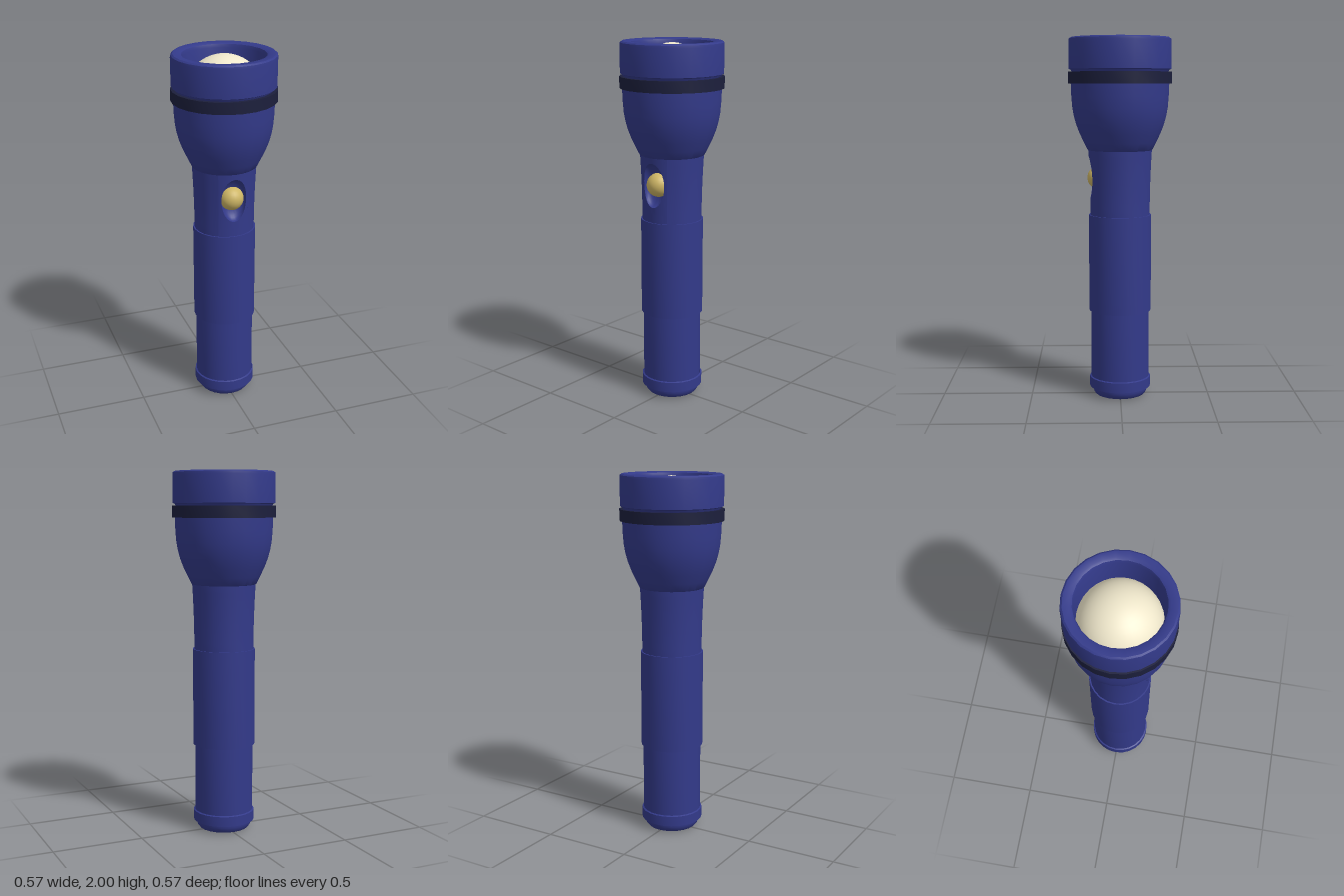
import * as THREE from 'three';
import { toCreasedNormals } from 'three/addons/utils/BufferGeometryUtils.js';

const SIDES = 24;
const NECK_BOTTOM = 1.03, NECK_TOP = 1.39;

const blue = new THREE.MeshStandardMaterial({ color: 0x333a8a, side: THREE.DoubleSide });
const dark = new THREE.MeshStandardMaterial({ color: 0x1c1f3c });
const gold = new THREE.MeshStandardMaterial({ color: 0xcdb565 });
const cream = new THREE.MeshStandardMaterial({ color: 0xf0e8cc });

function part(name, geometry, material) {
  const mesh = new THREE.Mesh(geometry, material);
  mesh.name = name;
  return mesh;
}

// Turned part from [radius, height] pairs, listed upwards along the outside
function turned(name, profile, material, start = 0, sweep = Math.PI * 2) {
  const points = profile.map(([r, y]) => new THREE.Vector2(r, y));
  const segments = Math.round((SIDES * sweep) / (Math.PI * 2));
  const lathe = new THREE.LatheGeometry(points, segments, start, sweep);
  return part(name, toCreasedNormals(lathe, 0.6), material);
}

// The neck flares slightly towards the head
const neckRadius = (y) => 0.165 + 0.011 * ((y - NECK_BOTTOM) / (NECK_TOP - NECK_BOTTOM)) ** 2;

// Front of the neck: rings run from the bowl centre to its oval rim, then out to a square border
function switchRecess(halfAngle) {
  const rays = 48, bowlRings = 10, outerRings = 4, rings = bowlRings + outerRings;
  const middle = 1.237, ovalAngle = 0.43, ovalHeight = 0.122, depth = 0.06;
  const positions = [], index = [];
  for (let i = 0; i <= rings; i++) {
    for (let j = 0; j < rays; j++) {
      const a = (j / rays) * Math.PI * 2, c = Math.cos(a), s = Math.sin(a);
      const t = Math.sin((Math.min(i / bowlRings, 1) * Math.PI) / 2);
      const k = Math.max(0, (i - bowlRings) / outerRings);
      const m = Math.max(Math.abs(c), Math.abs(s));
      const borderY = THREE.MathUtils.mapLinear(s / m, -1, 1, NECK_BOTTOM, NECK_TOP);
      const angle = THREE.MathUtils.lerp(ovalAngle * t * c, (halfAngle * c) / m, k);
      const y = THREE.MathUtils.lerp(middle + ovalHeight * t * s, borderY, k);
      const r = neckRadius(y);
      const dent = depth * Math.sqrt(Math.max(0, 1 - t * t));
      positions.push(r * Math.sin(angle), y, r * Math.cos(angle) - dent);
      if (i < rings) {
        const n = (j + 1) % rays, p = i * rays, q = p + rays;
        index.push(p + j, q + j, q + n);
        if (i > 0) index.push(p + j, q + n, p + n);
      }
    }
  }
  const geometry = new THREE.BufferGeometry();
  geometry.setAttribute('position', new THREE.Float32BufferAttribute(positions, 3));
  geometry.setIndex(index);
  return toCreasedNormals(geometry, 0.6);
}

export function createModel() {
  const model = new THREE.Group();
  model.name = 'flashlight';

  // Tail cap with a round hollow underneath
  model.add(turned('tailCap', [
    [0, 0.03], [0.06, 0.03], [0.072, 0.005], [0.08, 0], [0.122, 0], [0.138, 0.006],
    [0.149, 0.02], [0.154, 0.036], [0.155, 0.05], [0.171, 0.05], [0.171, 0.106], [0.163, 0.11],
  ], blue));

  // Barrel and raised grip
  model.add(turned('barrel', [[0.162, 0.1], [0.162, 0.5]], blue));
  model.add(turned('grip', [[0.16, 0.49], [0.173, 0.49], [0.173, 1.03], [0.16, 1.03]], blue));

  // Neck: plain around the back, with the switch recess in front
  const halfAngle = Math.PI / 6;
  const neckProfile = [];
  for (let i = 0; i <= 8; i++) {
    const y = THREE.MathUtils.lerp(NECK_BOTTOM, NECK_TOP, i / 8);
    neckProfile.push([neckRadius(y), y]);
  }
  model.add(turned('neck', neckProfile, blue, halfAngle, Math.PI * 2 - 2 * halfAngle));
  model.add(part('switchRecess', switchRecess(halfAngle), blue));

  // Switch button
  const button = part('switchButton', new THREE.SphereGeometry(0.066, 24, 16), gold);
  button.position.set(0, 1.235, 0.115);
  model.add(button);

  // Flared head below the band
  model.add(turned('head', [
    [0.17, 1.385], [0.179, 1.39], [0.2, 1.432], [0.223, 1.48], [0.242, 1.53], [0.254, 1.575],
    [0.262, 1.62], [0.267, 1.68], [0.27, 1.76],
  ], blue));

  // Dark sealing band
  model.add(turned('sealingBand', [
    [0.26, 1.752], [0.284, 1.752], [0.284, 1.815], [0.26, 1.815],
  ], dark));

  // Lens ring, rounded over the top and hollow inside
  model.add(turned('lensRing', [
    [0.262, 1.81], [0.27, 1.825], [0.28, 1.83], [0.281, 1.98], [0.279, 1.993], [0.27, 2],
    [0.236, 2], [0.224, 1.993], [0.218, 1.975], [0.216, 1.77],
  ], blue));

  // Domed lens
  const lens = part('lens', new THREE.SphereGeometry(0.216, 32, 12, 0, Math.PI * 2, 0, Math.PI / 2), cream);
  lens.position.y = 1.775;
  model.add(lens);

  return model;
}
